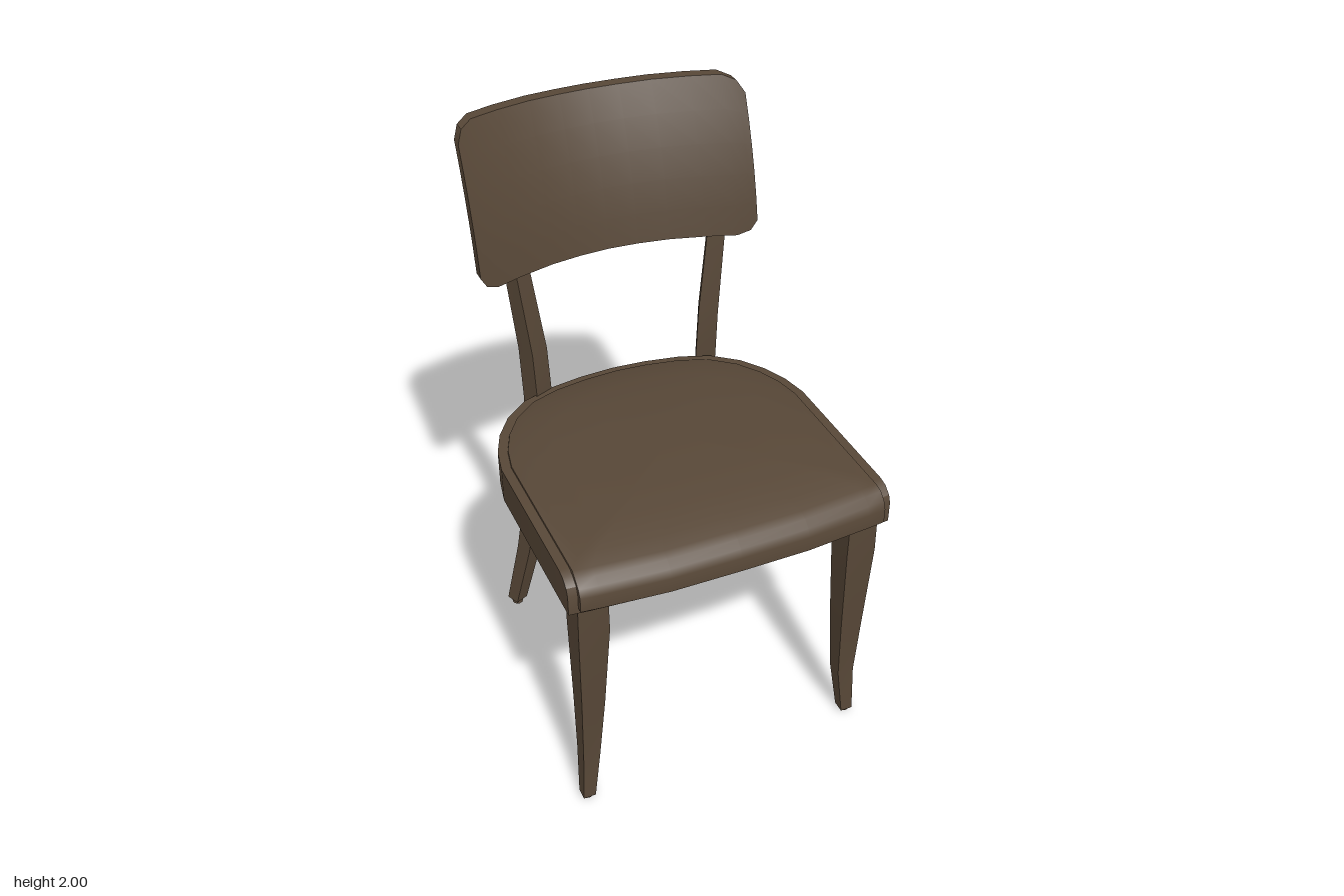
import * as THREE from 'three';
import { toCreasedNormals } from 'three/addons/utils/BufferGeometryUtils.js';

const wood = new THREE.MeshStandardMaterial({ color: 0x574737 });
wood.name = 'dark brown wood';

// Skin a stack of closed rings of [x, y, z] points and cap both ends.
function loft(name, rings, crease) {
  const n = rings[0].length, pos = [], index = [];
  rings.forEach((r) => r.forEach((p) => pos.push(...p)));
  for (let i = 0; i < rings.length - 1; i++) {
    for (let j = 0; j < n; j++) {
      const a = i * n + j, b = i * n + (j + 1) % n;
      index.push(a, b, b + n, a, b + n, a + n);
    }
  }
  [0, rings.length - 1].forEach((i) => {
    const mid = pos.length / 3;
    for (let k = 0; k < 3; k++) pos.push(rings[i].reduce((s, p) => s + p[k], 0) / n);
    for (let j = 0; j < n; j++) {
      const a = i * n + j, b = i * n + (j + 1) % n;
      index.push(mid, ...(i ? [a, b] : [b, a]));
    }
  });
  const geo = new THREE.BufferGeometry();
  geo.setAttribute('position', new THREE.Float32BufferAttribute(pos, 3));
  geo.setIndex(index);
  const mesh = new THREE.Mesh(toCreasedNormals(geo, crease), wood);
  mesh.name = name;
  return mesh;
}

// Square-section leg; each section is [y, half spacing, z, width].
function leg(name, sections, side, centre, yaw) {
  const group = new THREE.Group();
  group.name = name;
  const ring = ([y, u, z, s]) => [0, 1, 2, 3].map((k) => {
    const a = Math.PI / 4 + k * Math.PI / 2 + side * yaw;
    const r = s * Math.SQRT1_2;
    return [centre + side * u + r * Math.cos(a), y, z - r * Math.sin(a)];
  });
  group.add(loft(name + 'Post', sections.map(ring), 0.5));
  const [, u, z, s] = sections[0];
  const pad = new THREE.Mesh(new THREE.CylinderGeometry(s * 0.4, s * 0.4, 0.025, 10), wood);
  pad.name = name + 'Pad';
  pad.position.set(centre + side * u, 0.0125, z);
  group.add(pad);
  return group;
}

// Seat outline: front centre, along the right, to the back centre, then mirrored.
const half = [[0, 0.535], [0.24, 0.533], [0.47, 0.515], [0.533, 0.508], [0.533, -0.07],
  [0.515, -0.16], [0.48, -0.245], [0.425, -0.325], [0.34, -0.395], [0.24, -0.432], [0.12, -0.453], [0, -0.461]];
const outline = [...half, ...half.slice(1, -1).reverse().map(([x, z]) => [-x, z])];

function seat() {
  const group = new THREE.Group();
  group.name = 'seat';
  // Frame, with the front top edge rolled back
  const roll = [[0.915, 0], [0.985, 0], [1.01, 0.01], [1.03, 0.035], [1.037, 0.065]];
  group.add(loft('seatFrame', roll.map(([y, back]) =>
    outline.map(([x, z]) => [x, y, z > 0.4 ? z - back : z])), 0.5));
  // Domed cushion that wraps over the front edge: [y, scale, front setback]
  const dome = [[0.935, 1, 0], [0.985, 1, 0], [1.012, 1, 0.012], [1.032, 1, 0.035], [1.042, 0.995, 0.06],
    [1.055, 0.92, 0.075], [1.072, 0.72, 0.06], [1.085, 0.42, 0.03], [1.09, 0.15, 0]];
  group.add(loft('seatCushion', dome.map(([y, s, back]) => outline.map(([x, z]) => {
    const cz = z > 0.4 ? z + 0.022 - back : z * 0.944;
    return [x * 0.944 * s, y, 0.03 + (cz - 0.03) * s];
  })), 0.6));
  group.position.x = 0.011;
  return group;
}

// Curved backrest, leaning back more steeply near the top
function backrest() {
  const columns = [[0, 1.49, 1.985], [0.1, 1.49, 1.986], [0.205, 1.492, 1.99], [0.32, 1.495, 1.995],
    [0.415, 1.5, 2], [0.455, 1.52, 1.985], [0.475, 1.555, 1.95]];
  const all = [...columns.slice(1).reverse().map(([x, a, b]) => [-x, a, b]), ...columns];
  const steps = [0, 0.2, 0.4, 0.6, 0.8, 1];
  const rings = all.map(([x, low, high]) => {
    const face = (t, thick) => {
      const y = low + (high - low) * t, h = (y - 1.49) / 0.51;
      const z = -0.482 + 0.135 * (x / 0.47) ** 2 - 0.152 * (0.45 * h + 0.55 * h * h);
      return [x, y, z - thick];
    };
    return [...steps.slice().reverse().map((t) => face(t, 0)), ...steps.map((t) => face(t, 0.042))];
  });
  const mesh = loft('backrest', rings, 0.6);
  mesh.position.x = 0.019;
  return mesh;
}

export function createModel() {
  const model = new THREE.Group();
  model.name = 'chair';
  const chair = new THREE.Group();
  chair.name = 'turnedChair';
  chair.rotation.y = -0.443;
  model.add(chair);

  chair.add(seat(), backrest());

  const front = [[0.01, 0.485, 0.42, 0.042], [0.2, 0.469, 0.406, 0.058], [0.45, 0.462, 0.412, 0.078],
    [0.77, 0.457, 0.419, 0.101], [0.93, 0.457, 0.419, 0.097]];
  const back = [[0.02, 0.407, -0.566, 0.05], [0.3, 0.36, -0.517, 0.06], [0.6, 0.326, -0.472, 0.066],
    [0.8, 0.315, -0.454, 0.068], [1.0, 0.312, -0.447, 0.068], [1.2, 0.32, -0.448, 0.066],
    [1.5, 0.352, -0.465, 0.058], [1.7, 0.365, -0.485, 0.054], [1.74, 0.368, -0.492, 0.042]];
  [['right', -1], ['left', 1]].forEach(([word, side]) => {
    chair.add(leg(word + 'FrontLeg', front, side, 0.026, 0));
    chair.add(leg(word + 'BackLeg', back, side, 0.046, -0.43));
  });
  return model;
}
